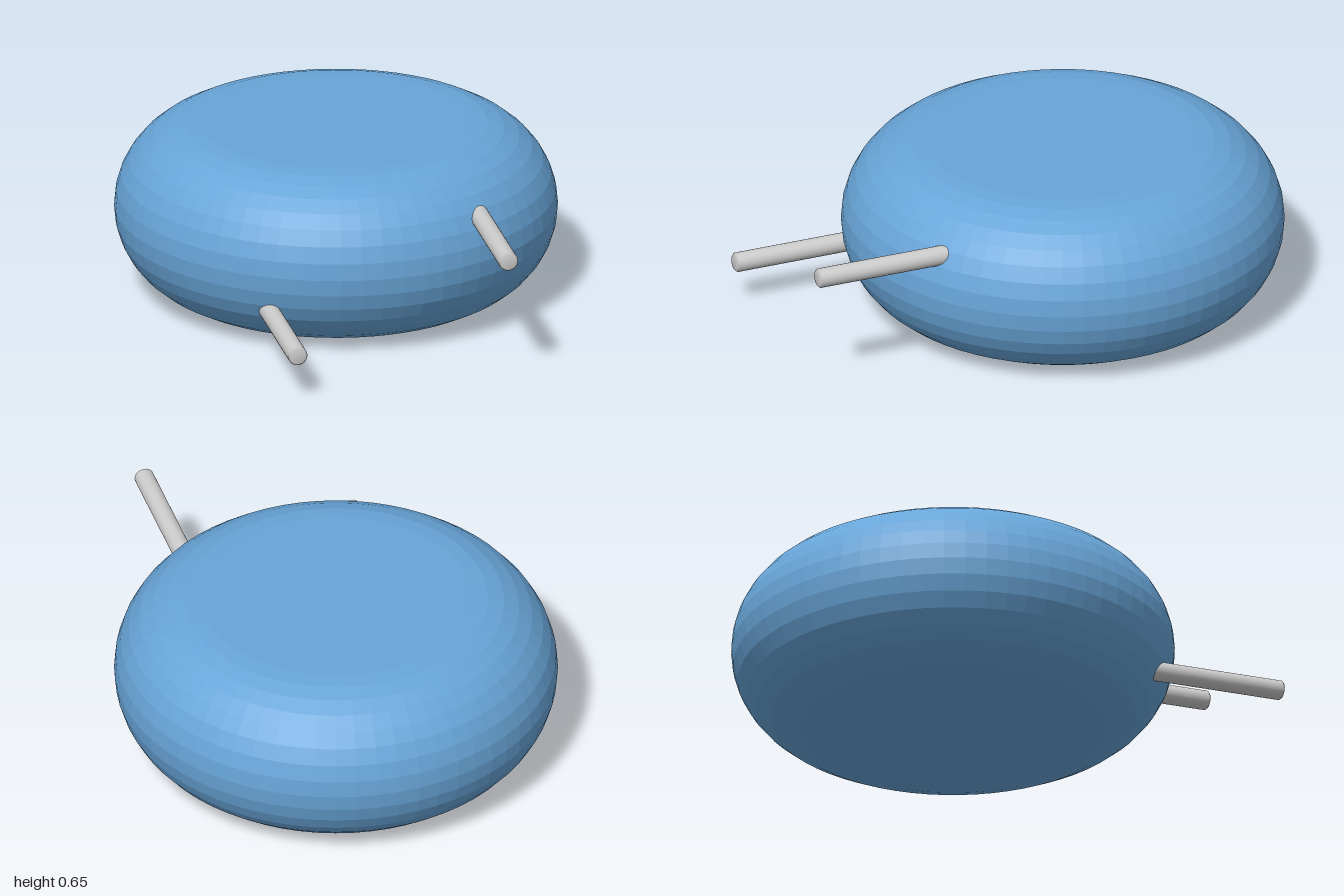
import * as THREE from 'three';

const BODY_RADIUS = 0.833, HEIGHT = 0.655, BASE = 0.004, BODY_Z = -0.167;
const PIN_RADIUS = 0.037, PIN_BACK = 0.2, PIN_FRONT = 1;

export function createModel() {
  const model = new THREE.Group();
  model.name = 'roundBodyWithPins';
  const blue = new THREE.MeshStandardMaterial({ color: 0x68a5d8, flatShading: true });
  const grey = new THREE.MeshStandardMaterial({ color: 0xcccccc });

  // Puck body: flat top and bottom, fully rounded rim
  const r = HEIGHT / 2, steps = 16;
  const profile = [new THREE.Vector2(0, 0)];
  for (let i = 0; i <= steps; i++) {
    const a = -Math.PI / 2 + (Math.PI * i) / steps;
    profile.push(new THREE.Vector2(BODY_RADIUS - r + r * Math.cos(a), r + r * Math.sin(a)));
  }
  profile.push(new THREE.Vector2(0, HEIGHT));
  const body = new THREE.Mesh(new THREE.LatheGeometry(profile, 64), blue);
  body.name = 'body';
  body.position.set(0, BASE, BODY_Z);
  model.add(body);

  // Two pins reaching forward, with slightly bevelled tips
  const length = PIN_FRONT - PIN_BACK, bevel = 0.008;
  const pinProfile = [
    [0, 0], [PIN_RADIUS, 0], [PIN_RADIUS, length - bevel], [PIN_RADIUS - bevel, length], [0, length],
  ].map(([x, y]) => new THREE.Vector2(x, y));
  const pinGeometry = new THREE.LatheGeometry(pinProfile, 24).rotateX(Math.PI / 2);
  for (const [name, x, y] of [['leftPin', 0.405, 0.49], ['rightPin', -0.405, 0.177]]) {
    const pin = new THREE.Mesh(pinGeometry, grey);
    pin.name = name;
    pin.position.set(x, y, PIN_BACK);
    model.add(pin);
  }
  return model;
}
